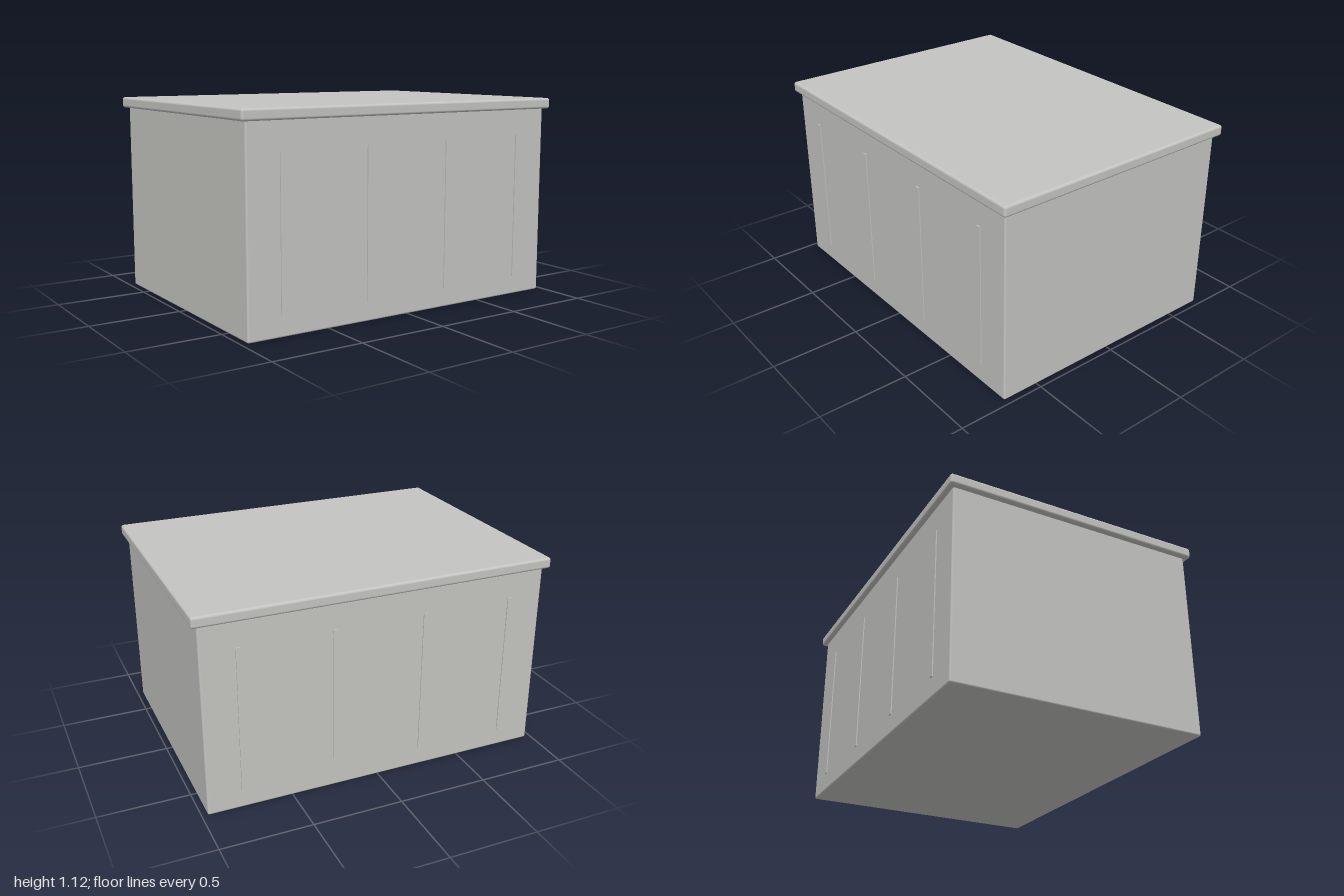
import * as THREE from 'three';
import { RoundedBoxGeometry } from 'three/addons/geometries/RoundedBoxGeometry.js';

export function createModel() {
  const model = new THREE.Group();
  model.name = 'storageBox';

  const grey = new THREE.MeshStandardMaterial({ color: 0xc4c4c1 });
  grey.name = 'light grey';

  const addPart = (name, geometry, x, y, z) => {
    const mesh = new THREE.Mesh(geometry, grey);
    mesh.name = name;
    mesh.position.set(x, y, z);
    model.add(mesh);
  };

  // Box body with softly rounded edges
  addPart('body', new RoundedBoxGeometry(1.936, 1.08, 1.428, 3, 0.01), 0, 0.54, 0);

  // Overhanging lid
  addPart('lid', new RoundedBoxGeometry(2, 0.06, 1.484, 3, 0.014), 0, 1.095, 0);

  // Four slim raised ribs on the front and on the back
  const rib = new THREE.BoxGeometry(0.025, 0.815, 0.02);
  for (const side of [1, -1]) {
    for (const x of [-0.77, -0.257, 0.257, 0.77]) {
      addPart(side > 0 ? 'frontRib' : 'backRib', rib, x, 0.513, side * 0.71);
    }
  }

  return model;
}
